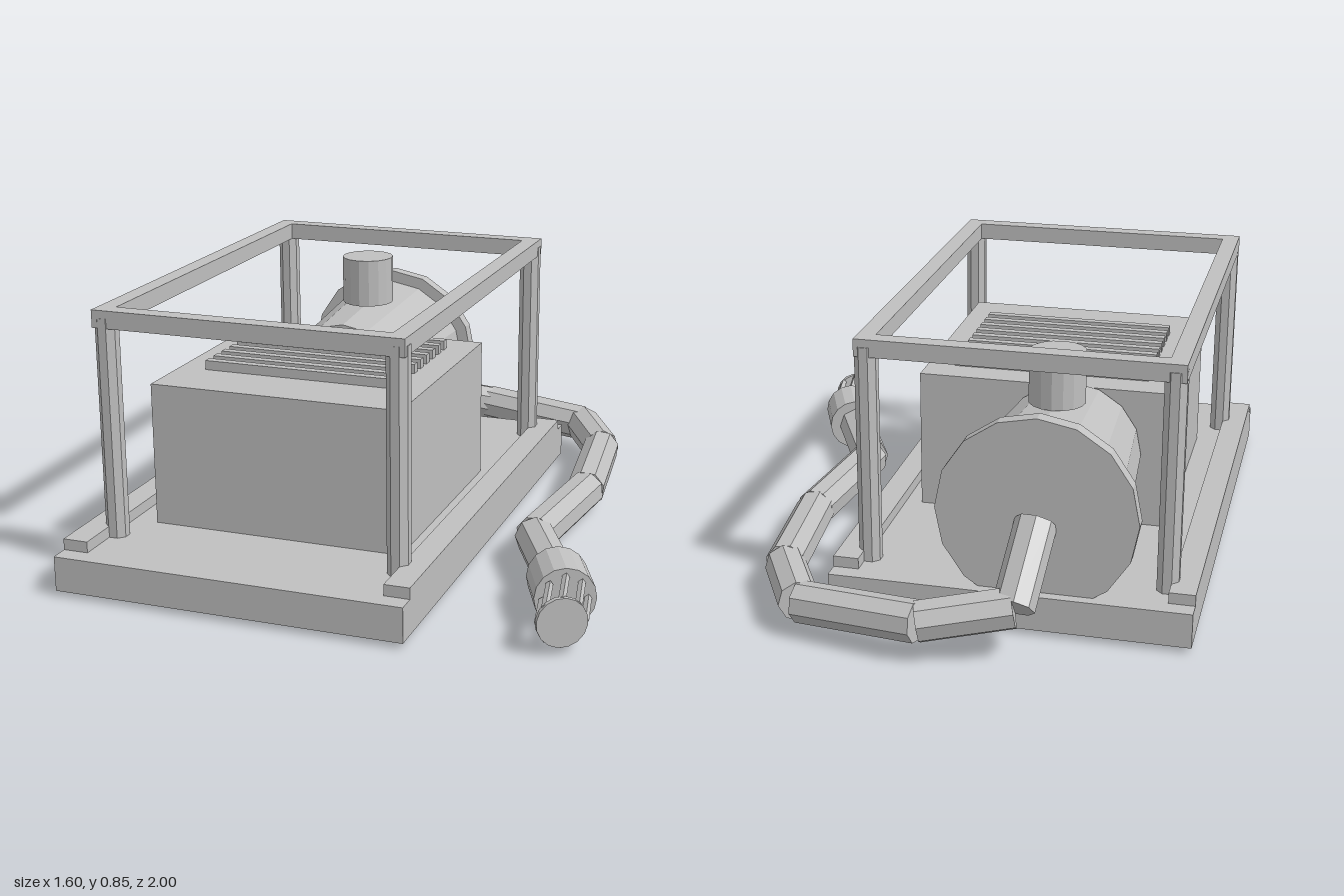
import * as THREE from 'three';

export function createModel() {
  const model = new THREE.Group();
  model.name = 'motorPump';
  const grey = new THREE.MeshStandardMaterial({ color: 0xc0c0c0, flatShading: true });
  grey.name = 'grey';
  const V = (x, y, z) => new THREE.Vector3(x, y, z);
  const UP = V(0, 1, 0);

  function add(name, geometry, parent = model) {
    const mesh = new THREE.Mesh(geometry, grey);
    mesh.name = name;
    parent.add(mesh);
    return mesh;
  }
  // Box given by its limits on each axis
  function box(name, x0, x1, y0, y1, z0, z1, parent) {
    const mesh = add(name, new THREE.BoxGeometry(x1 - x0, y1 - y0, z1 - z0), parent);
    mesh.position.set((x0 + x1) / 2, (y0 + y1) / 2, (z0 + z1) / 2);
    return mesh;
  }
  // Cylinder or cone running from a to b
  function rod(name, a, b, ra, rb, sides, parent, turn = 0) {
    const geometry = new THREE.CylinderGeometry(rb, ra, a.distanceTo(b), sides);
    geometry.rotateY(turn);
    const mesh = add(name, geometry, parent);
    mesh.position.copy(a).lerp(b, 0.5);
    mesh.quaternion.setFromUnitVectors(UP, b.clone().sub(a).normalize());
    return mesh;
  }
  function group(name) {
    const g = new THREE.Group();
    g.name = name;
    model.add(g);
    return g;
  }

  // Base plate with two skid rails
  box('basePlate', -0.8, 0.31, 0.02, 0.13, -0.73, 1);
  box('rightRail', -0.8, -0.72, 0.13, 0.165, -0.675, 0.94);
  box('leftRail', 0.23, 0.31, 0.13, 0.165, -0.675, 0.94);

  // Protective frame
  const frame = group('frame');
  for (const x of [-0.707, 0.217]) {
    for (const z of [-0.585, 0.773]) {
      rod('framePost', V(x, 0.13, z), V(x, 0.825, z), 0.036, 0.036, 8, frame, Math.PI / 8);
    }
  }
  for (const x of [-0.74, 0.193]) box('sideBar', x, x + 0.055, 0.795, 0.85, -0.615, 0.805, frame);
  for (const z of [-0.615, 0.75]) box('crossBar', -0.685, 0.193, 0.795, 0.85, z, z + 0.055, frame);

  // Engine block with cooling slats
  const engine = group('engine');
  box('engineBlock', -0.64, 0.177, 0.13, 0.585, -0.148, 0.645, engine);
  for (let i = 0; i < 9; i++) {
    const z = -0.033 + i * 0.0583;
    box('coolingSlat', -0.55, 0.087, 0.585, 0.615, z - 0.014, z + 0.014, engine);
  }

  // Pump housing, flange and outlet
  const pump = group('pump');
  const px = -0.325, py = 0.375;
  rod('pumpHousing', V(px, py, -0.155), V(px, py, -0.65), 0.225, 0.267, 16, pump);
  rod('pumpFlange', V(px, py, -0.65), V(px, py, -0.697), 0.307, 0.307, 16, pump);
  rod('pumpOutlet', V(px, 0.628, -0.4), V(px, 0.79, -0.4), 0.088, 0.088, 16, pump);

  // Suction hose made of straight sections
  const hose = group('hose');
  const path = [
    V(-0.325, 0.355, -0.69), V(-0.3, 0.165, -0.875), V(-0.03, 0.12, -0.94),
    V(0.355, 0.1, -0.865), V(0.485, 0.095, -0.625), V(0.535, 0.09, -0.195),
    V(0.487, 0.092, 0.27), V(0.635, 0.095, 0.57),
  ];
  for (let i = 0; i < path.length - 1; i++) {
    rod('hoseSection', path[i], path[i + 1], 0.064, 0.064, 8, hose, Math.PI / 8);
  }

  // Strainer: collar, cage bars and end disc
  const strainer = group('strainer');
  const collarEnd = V(0.703, 0.098, 0.715), discCentre = V(0.735, 0.1, 0.88);
  rod('strainerCollar', V(0.635, 0.095, 0.556), collarEnd, 0.092, 0.092, 16, strainer);
  const axis = V(0.5, 0, 0.866);
  rod('strainerDisc', discCentre.clone().addScaledVector(axis, -0.008),
    discCentre.clone().addScaledVector(axis, 0.008), 0.075, 0.075, 16, strainer);
  for (let i = 0; i < 8; i++) {
    const t = (i * Math.PI) / 4;
    const offset = V(0.866 * Math.cos(t), Math.sin(t), -0.5 * Math.cos(t)).multiplyScalar(0.068);
    rod('strainerBar', collarEnd.clone().add(offset), discCentre.clone().add(offset),
      0.011, 0.011, 4, strainer);
  }
  return model;
}
